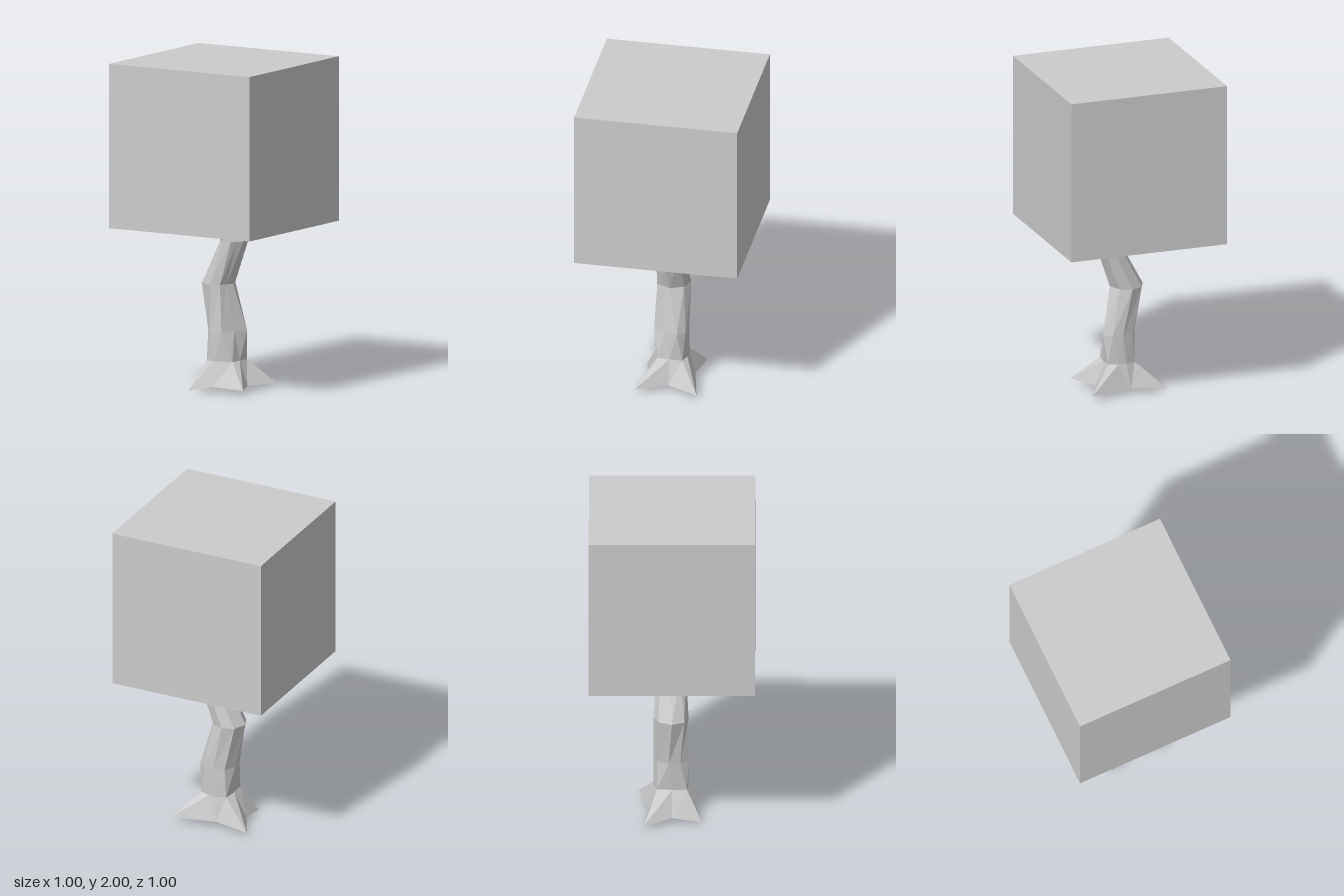
import * as THREE from 'three';

const material = new THREE.MeshStandardMaterial({ color: 0xcccccc, flatShading: true });

// Cross-sections run counterclockwise seen from above, starting at the front
const ring = (y, points) => points.map(([x, z]) => new THREE.Vector3(x, y, z));

// Joins cross-sections from bottom to top and closes the underside
function loft(rings) {
  const positions = [];
  const tri = (...corners) => corners.forEach((p) => positions.push(p.x, p.y, p.z));
  const n = rings[0].length;
  for (let r = 0; r < rings.length - 1; r++) {
    const a = rings[r], b = rings[r + 1];
    for (let i = 0; i < n; i++) {
      const j = (i + 1) % n;
      if (a[i].distanceTo(a[j]) > 1e-6) tri(a[i], a[j], b[j]);
      tri(a[i], b[j], b[i]);
    }
  }
  const base = rings[0];
  const centre = new THREE.Vector3(0, 0.03, 0);
  for (let i = 0; i < n; i++) {
    const j = (i + 1) % n;
    if (base[i].distanceTo(base[j]) > 1e-6) tri(centre, base[j], base[i]);
  }
  const geometry = new THREE.BufferGeometry();
  geometry.setAttribute('position', new THREE.Float32BufferAttribute(positions, 3));
  geometry.computeVertexNormals();
  return geometry;
}

export function createModel() {
  const group = new THREE.Group();

  // Star-shaped foot: four root tips with notches between them
  const roots = ring(0.03, [
    [0.01, 0.14], [0.25, 0.18], [0.16, -0.01], [0.25, -0.2], [-0.02, -0.14],
    [-0.02, -0.14], [-0.24, -0.17], [-0.15, 0], [-0.14, 0.18],
  ]);
  roots[6].y = 0.015;
  roots[8].y = 0;

  // Crooked, slightly twisting trunk
  const trunkRings = [
    ring(0.18, [[-0.01, 0.1], [0.105, 0.07], [0.11, -0.005], [0.11, -0.085], [0.05, -0.105],
      [0, -0.11], [-0.06, -0.09], [-0.07, 0], [-0.065, 0.09]]),
    ring(0.36, [[-0.04, 0.1], [0.045, 0.1], [0.09, 0.025], [0.13, -0.055], [0.085, -0.1],
      [0.02, -0.11], [-0.05, -0.09], [-0.085, -0.02], [-0.08, 0.05]]),
    ring(0.645, [[-0.04, 0.1], [0.025, 0.085], [0.045, 0.043], [0.065, 0], [0.03, -0.08],
      [-0.04, -0.11], [-0.11, -0.08], [-0.145, 0], [-0.11, 0.075]]),
    ring(0.91, [[0.045, 0.085], [0.1, 0.08], [0.125, 0.05], [0.15, 0.02], [0.13, -0.07],
      [0.075, -0.095], [0.025, -0.07], [0, -0.01], [0.005, 0.05]]),
  ];
  trunkRings.push(trunkRings[3].map((p) => new THREE.Vector3(p.x - 0.02, 1, p.z)));

  const trunk = new THREE.Mesh(loft([roots, ...trunkRings]), material);
  trunk.name = 'trunkAndRoots';
  group.add(trunk);

  // Cube-shaped crown
  const crown = new THREE.Mesh(new THREE.BoxGeometry(1, 1, 1), material);
  crown.name = 'crown';
  crown.position.y = 1.5;
  group.add(crown);

  return group;
}
